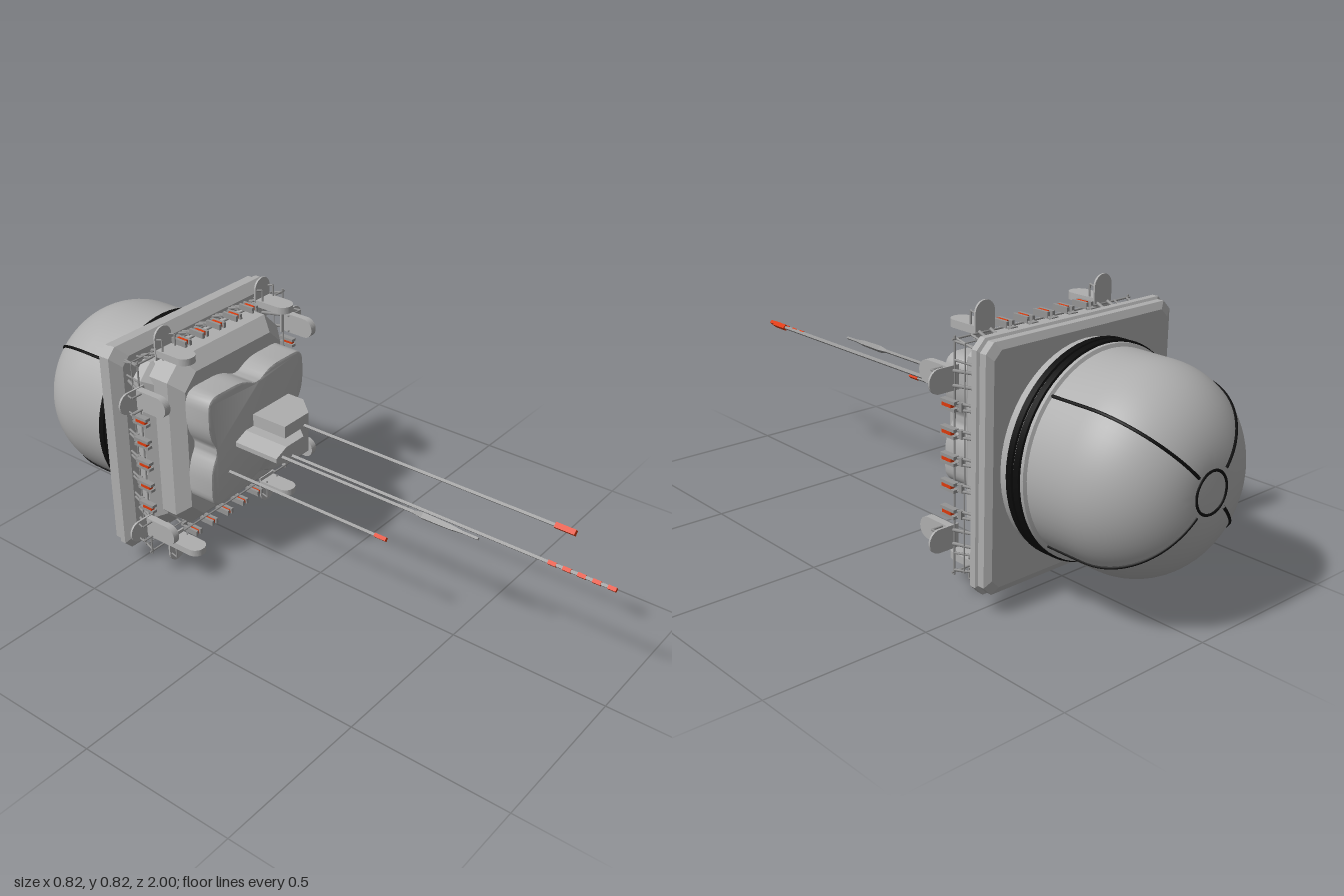
import * as THREE from 'three';
import { toCreasedNormals } from 'three/addons/utils/BufferGeometryUtils.js';

const CY = 0.411; // height of the dome axis
const mat = (name, color) => Object.assign(new THREE.MeshStandardMaterial({ color }), { name });

// Solid through chamfered rectangles, each [halfWidth, halfHeight, chamfer, z], back to front
function loft(sections, cx, cy) {
  const rings = sections.map(([w, h, c, z]) => [
    [w, -h + c], [w, h - c], [w - c, h], [-w + c, h], [-w, h - c], [-w, -h + c], [-w + c, -h], [w - c, -h],
  ].map(([x, y]) => [cx + x, cy + y, z]));
  const p = [];
  const last = rings.length - 1;
  for (let k = 0; k < 8; k++) {
    const n = (k + 1) % 8;
    for (let i = 0; i < last; i++) {
      const a = rings[i][k], b = rings[i][n], c = rings[i + 1][n], d = rings[i + 1][k];
      p.push(...a, ...b, ...c, ...a, ...c, ...d);
    }
    p.push(cx, cy, sections[last][3], ...rings[last][k], ...rings[last][n]);
    p.push(cx, cy, sections[0][3], ...rings[0][n], ...rings[0][k]);
  }
  const g = new THREE.BufferGeometry();
  g.setAttribute('position', new THREE.Float32BufferAttribute(p, 3));
  g.computeVertexNormals();
  return g;
}

// Closed outline with each corner rounded by up to r
function roundedOutline(pts, r) {
  const s = new THREE.Shape();
  const v = pts.map(([x, y]) => new THREE.Vector2(x, y));
  v.forEach((c, i) => {
    const toward = (o) => c.clone().lerp(o, Math.min(0.48, r / c.distanceTo(o)));
    const a = toward(v[(i + v.length - 1) % v.length]);
    const b = toward(v[(i + 1) % v.length]);
    if (i) s.lineTo(a.x, a.y); else s.moveTo(a.x, a.y);
    s.quadraticCurveTo(c.x, c.y, b.x, b.y);
  });
  s.closePath();
  return s;
}

// Tongue with a square root at 0 and a round end at len
function tongue(half, len) {
  const s = new THREE.Shape();
  s.moveTo(-half, 0);
  s.lineTo(half, 0);
  s.lineTo(half, len - half);
  s.absarc(0, len - half, half, 0, Math.PI, false);
  s.closePath();
  return s;
}

const extrude = (shape, depth) => new THREE.ExtrudeGeometry(shape, { depth, bevelEnabled: false, curveSegments: 12 });

// Prism with an x-z outline, rising from y0 to y1
function prism(pts, y0, y1) {
  const s = new THREE.Shape(pts.map(([x, z]) => new THREE.Vector2(x, z)));
  return extrude(s, y1 - y0).rotateX(Math.PI / 2).translate(0, y1, 0);
}

export function createModel() {
  const model = new THREE.Group();
  const grey = mat('hull grey', 0xaeaeae);
  const steel = mat('fitting grey', 0x949494);
  const black = mat('seal black', 0x0c0c0c);
  const red = mat('marker red', 0xdc3a0c);

  const add = (parent, name, geo, material) => {
    const m = new THREE.Mesh(geo, material);
    m.name = name;
    parent.add(m);
    return m;
  };
  const bar = (parent, name, a, b, r, material) => {
    const A = new THREE.Vector3(...a), B = new THREE.Vector3(...b);
    const m = add(parent, name, new THREE.CylinderGeometry(r, r, A.distanceTo(B), 6), material);
    m.position.copy(A).add(B).multiplyScalar(0.5);
    m.quaternion.setFromUnitVectors(new THREE.Vector3(0, 1, 0), B.sub(A).normalize());
  };
  const lathe = (name, pts, material) => {
    const g = new THREE.LatheGeometry(pts.map(([r, d]) => new THREE.Vector2(r, d)), 64);
    add(model, name, toCreasedNormals(g.rotateX(-Math.PI / 2), 0.5), material).position.y = CY;
  };

  // Dome at the rear, with its seal and seams
  const curve = [[0.29, 0.63]];
  for (let i = 0; i <= 20; i++) {
    const t = (i / 20) * Math.PI / 2;
    curve.push([0.055 + 0.235 * Math.cos(t), 0.77 + 0.226 * Math.sin(t)]);
  }
  lathe('dome', [...curve, [0, 0.998]], grey);
  lathe('domeCollar', [[0.3, 0.55], [0.3, 0.642], [0.285, 0.648]], grey);
  for (const d of [0.583, 0.609]) {
    lathe('domeSeal', [[0.296, d], [0.306, d + 0.003], [0.306, d + 0.021], [0.296, d + 0.024]], black);
  }
  for (let k = 0; k < 4; k++) {
    const a = Math.PI / 4 + k * Math.PI / 2;
    const path = new THREE.CatmullRomCurve3(curve.slice(0, -1).map(([r, d]) =>
      new THREE.Vector3(r * Math.cos(a), CY + r * Math.sin(a), -d)));
    add(model, 'domeSeam', new THREE.TubeGeometry(path, 40, 0.005, 6), black);
  }
  add(model, 'domeCapRing', new THREE.TorusGeometry(0.058, 0.004, 6, 40), black).position.set(0, CY, -0.996);

  // Stepped hull
  add(model, 'basePlate', loft([
    [0.325, 0.325, 0.025, -0.56], [0.345, 0.345, 0.027, -0.55], [0.345, 0.345, 0.027, -0.528],
    [0.352, 0.352, 0.028, -0.524], [0.352, 0.352, 0.028, -0.505], [0.32, 0.32, 0.027, -0.48],
  ], 0, CY), grey);
  add(model, 'baseStep', loft([
    [0.284, 0.287, 0.045, -0.49], [0.284, 0.287, 0.045, -0.45], [0.25, 0.265, 0.04, -0.41],
  ], 0, CY), grey);
  add(model, 'upperStep', loft([
    [0.249, 0.29, 0.06, -0.45], [0.249, 0.29, 0.06, -0.365], [0.217, 0.249, 0.05, -0.325],
  ], -0.01, 0.433), grey);

  // Four-lobed front block
  const W = 0.212, H = 0.182;
  const quarter = [[W, 0.06], [W, H], [0.065, H]];
  const flip = (sx, sy) => quarter.map(([x, y]) => [sx * x, sy * y]);
  const lobes = roundedOutline([
    [0.175, 0], ...flip(1, 1), [0, 0.145], ...flip(-1, 1).reverse(),
    [-0.175, 0], ...flip(-1, -1), [0, -0.145], ...flip(1, -1).reverse(),
  ], 0.04);
  const lobeGeo = new THREE.ExtrudeGeometry(lobes, {
    depth: 0.09, bevelThickness: 0.007, bevelSize: 0.007, bevelSegments: 2, curveSegments: 6,
  });
  add(model, 'lobedBlock', toCreasedNormals(lobeGeo, 0.6), grey).position.set(-0.009, 0.449, -0.332);

  // Instrument housings
  add(model, 'largeHousing', prism([
    [-0.033, -0.24], [0.135, -0.24], [0.135, -0.175], [0.08, -0.11], [-0.033, -0.11],
  ], 0.372, 0.506), grey);
  add(model, 'smallHousing', prism([
    [-0.068, -0.24], [0.04, -0.24], [0.04, -0.11], [0.012, -0.075], [-0.068, -0.075],
  ], 0.41, 0.466), grey);
  const nose = new THREE.Shape([[-0.068, 0.41], [-0.068, 0.466], [-0.115, 0.446], [-0.115, 0.431]]
    .map(([x, y]) => new THREE.Vector2(x, y)));
  add(model, 'housingNose', extrude(nose, 0.165), grey).position.z = -0.24;

  // Antennas: square rods turned to a diamond, tapering from r0 to r1
  const rod = (name, x, y, z0, z1, r0, r1, material) => {
    const g = new THREE.CylinderGeometry(r1, r0, z1 - z0, 4).rotateX(Math.PI / 2);
    add(model, name, toCreasedNormals(g, 0.5), material).position.set(x, y, (z0 + z1) / 2);
  };
  rod('rightAntenna', 0.06, 0.47, -0.12, 0.765, 0.006, 0.006, steel);
  rod('rightAntennaTip', 0.06, 0.47, 0.76, 0.822, 0.011, 0.011, red);
  rod('longAntenna', -0.04, 0.422, -0.08, 0.995, 0.006, 0.006, steel);
  for (let i = 0; i < 5; i++) {
    const z = 0.8 + i * 0.044;
    rod('longAntennaBand', -0.04, 0.422, z, z + 0.024, 0.008, 0.008, red);
  }
  rod('probe', -0.087, 0.44, -0.08, 0.42, 0.006, 0.006, steel);
  rod('probeFlare', -0.087, 0.44, 0.4, 0.43, 0.006, 0.012, steel);
  rod('probeHead', -0.087, 0.44, 0.43, 0.52, 0.012, 0.01, steel);
  rod('probeTaper', -0.087, 0.44, 0.52, 0.56, 0.01, 0.005, steel);
  rod('probeTip', -0.087, 0.44, 0.56, 0.61, 0.005, 0.005, steel);
  rod('shortAntenna', -0.146, 0.357, -0.25, 0.315, 0.006, 0.006, steel);
  rod('shortAntennaTip', -0.146, 0.357, 0.31, 0.35, 0.008, 0.008, red);

  // Fittings along one edge, repeated on all four sides
  for (let k = 0; k < 4; k++) {
    const side = new THREE.Group();
    side.name = 'edgeFittings';
    side.position.y = CY;
    side.rotation.z = k * Math.PI / 2;
    model.add(side);

    // Guard rail
    bar(side, 'rail', [-0.335, 0.326, -0.412], [0.335, 0.326, -0.412], 0.003, steel);
    bar(side, 'lowerRail', [-0.32, 0.32, -0.445], [0.32, 0.32, -0.445], 0.002, steel);
    for (const x of [-0.32, -0.27, 0.27, 0.32]) {
      bar(side, 'railPost', [x, 0.326, -0.412], [x * 0.97, 0.305, -0.485], 0.0035, steel);
    }

    // Foot rests: flat tongue, upright tongue and a pair of handles
    for (const x of [-0.222, 0.222]) {
      const rest = new THREE.Group();
      rest.name = 'footRest';
      rest.position.x = x;
      side.add(rest);
      add(rest, 'flatPad', extrude(tongue(0.034, 0.1), 0.006), grey).position.set(0, 0.311, -0.412);
      add(rest, 'uprightPad', extrude(tongue(0.032, 0.118).clone(), 0.022).rotateX(Math.PI / 2), grey)
        .position.set(0, 0.345, -0.41);
      for (const s of [-1, 1]) {
        bar(rest, 'handle', [0.026 * s, 0.318, -0.385], [0.026 * s, 0.382, -0.385], 0.003, steel);
        bar(rest, 'handleLeg', [0.026 * s, 0.382, -0.385], [0.026 * s, 0.375, -0.41], 0.003, steel);
        bar(rest, 'brace', [0.02 * s, 0.33, -0.41], [0.02 * s, 0.3, -0.485], 0.005, steel);
      }
    }

    // Clips with red inserts
    for (let i = -2; i <= 2; i++) {
      const x = i * 0.075;
      for (const s of [-1, 1]) {
        add(side, 'clipProng', new THREE.BoxGeometry(0.009, 0.018, 0.055), steel)
          .position.set(x + 0.0095 * s, 0.336, -0.403);
        bar(side, 'clipStrut', [x + 0.009 * s, 0.332, -0.425], [x + 0.007 * s, 0.31, -0.49], 0.004, steel);
      }
      add(side, 'clipBridge', new THREE.BoxGeometry(0.024, 0.012, 0.012), steel).position.set(x, 0.326, -0.44);
      add(side, 'clipInsert', new THREE.BoxGeometry(0.011, 0.013, 0.036), red).position.set(x, 0.338, -0.4);
    }
  }
  return model;
}
